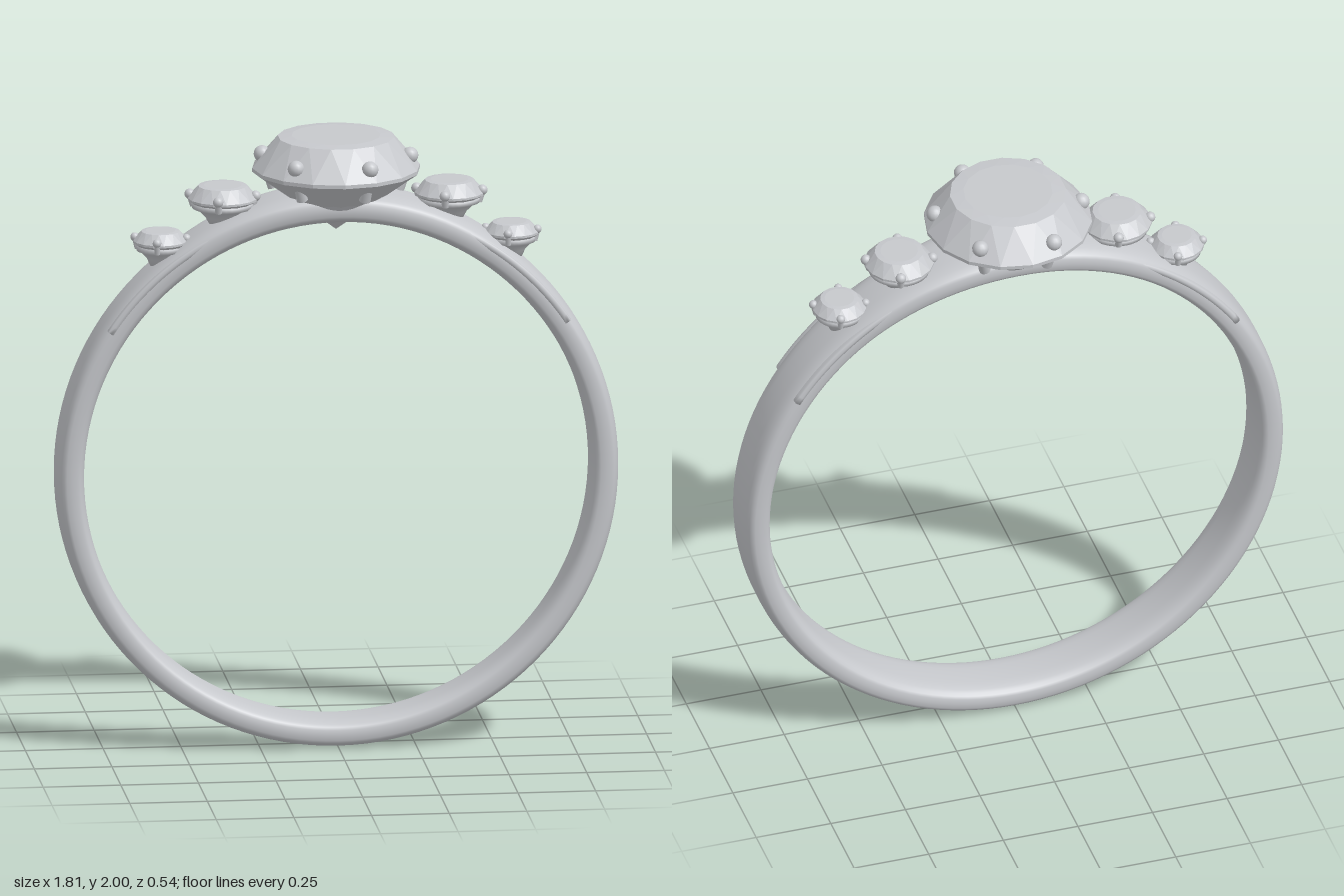
import * as THREE from 'three';

const CY = 0.905; // height of the ring centre

// Sweep a rounded-box section along an arc; angle is measured from the top of the ring.
function sweepArc(from, to, steps, section, sides) {
  const pos = [], idx = [], n = sides;
  const pw = (v, e) => Math.sign(v) * Math.pow(Math.abs(v), e);
  for (let i = 0; i <= steps; i++) {
    const t = from + (to - from) * i / steps;
    const { r, half, width, e } = section(t);
    for (let j = 0; j < n; j++) {
      const a = j / n * Math.PI * 2;
      const rad = r + half * pw(Math.sin(a), e);
      pos.push(rad * Math.sin(t), CY + rad * Math.cos(t), width * pw(Math.cos(a), e));
    }
  }
  const closed = Math.abs(to - from - Math.PI * 2) < 1e-6;
  for (let i = 0; i < steps; i++) {
    const p = i * n, q = (closed && i === steps - 1 ? 0 : i + 1) * n;
    for (let j = 0; j < n; j++) {
      const k = (j + 1) % n;
      idx.push(p + j, q + j, p + k, q + j, q + k, p + k);
    }
  }
  if (!closed) { // end caps
    const last = steps * n;
    for (let j = 1; j < n - 1; j++) idx.push(0, j, j + 1, last, last + j + 1, last + j);
  }
  const g = new THREE.BufferGeometry();
  g.setAttribute('position', new THREE.Float32BufferAttribute(pos, 3));
  g.setIndex(idx);
  g.computeVertexNormals();
  return g;
}

// Faceted stone from [radius, y, twist] rings, listed top to bottom.
function gemGeometry(rings, n) {
  const pos = [];
  const pt = ([r, y, tw], j) => {
    const a = (j + tw) / n * Math.PI * 2;
    return [r * Math.cos(a), y, r * Math.sin(a)];
  };
  const tri = (a, b, c) => pos.push(...a, ...b, ...c);
  const top = rings[0];
  for (let j = 0; j < n; j++) {
    tri([0, top[1], 0], pt(top, j + 1), pt(top, j));
    for (let k = 0; k < rings.length - 1; k++) {
      const u = rings[k], l = rings[k + 1];
      tri(pt(u, j), pt(u, j + 1), pt(l, j));
      if (l[0] > 0) tri(pt(u, j + 1), pt(l, j + 1), pt(l, j));
    }
  }
  const g = new THREE.BufferGeometry();
  g.setAttribute('position', new THREE.Float32BufferAttribute(pos, 3));
  g.computeVertexNormals();
  return g;
}

export function createModel() {
  const ring = new THREE.Group();
  ring.name = 'ring';
  const silver = new THREE.MeshStandardMaterial({ color: 0xc6c8cc });
  silver.name = 'silver';
  const stone = new THREE.MeshStandardMaterial({ color: 0xc6c8cc });
  stone.name = 'stone';

  const add = (parent, name, geo, mat = silver) => {
    const m = new THREE.Mesh(geo, mat);
    m.name = name;
    parent.add(m);
    return m;
  };

  // Claws: tapered stems with round tips, spaced evenly around a stone
  const addClaws = (parent, count, offset, low, high, stem, tip) => {
    for (let i = 0; i < count; i++) {
      const a = offset + i / count * Math.PI * 2;
      const at = ([r, y]) => new THREE.Vector3(r * Math.cos(a), y, r * Math.sin(a));
      const p = at(low), q = at(high), dir = q.clone().sub(p);
      const m = add(parent, 'clawStem', new THREE.CylinderGeometry(stem, stem, dir.length(), 10));
      m.position.copy(p).add(q).multiplyScalar(0.5);
      m.quaternion.setFromUnitVectors(new THREE.Vector3(0, 1, 0), dir.normalize());
      add(parent, 'clawTip', new THREE.SphereGeometry(tip, 14, 10)).position.copy(q);
    }
  };

  // Band, flaring wider and thicker towards the top
  add(ring, 'band', sweepArc(-Math.PI, Math.PI, 128, t => {
    const s = Math.max(0, 1 - Math.abs(t) / 0.8), f = s * s * (3 - 2 * s);
    return { r: 0.86 + 0.014 * f, half: 0.045 + 0.006 * f, width: 0.1 + 0.032 * f, e: 0.65 };
  }, 28));

  // Slim side rails on both shoulders
  for (const s of [-1, 1]) {
    const c = s * 0.64;
    add(ring, 'shoulderRail', sweepArc(c - 0.35, c + 0.35, 24,
      () => ({ r: 0.881, half: 0.012, width: 0.107, e: 0.3 }), 16));
  }

  // Main stone with its collar and six claws
  const main = new THREE.Group();
  main.name = 'mainSetting';
  ring.add(main);
  add(main, 'mainStone', gemGeometry([
    [0.143, 2.0, 0], [0.187, 1.995, 0.5], [0.27, 1.897, 1], [0.27, 1.885, 1], [0, 1.69, 1],
  ], 16), stone);
  add(main, 'mainCollar', new THREE.CylinderGeometry(0.155, 0.125, 0.035, 40)).position.y = 1.79;
  addClaws(main, 6, 0.16, [0.2, 1.825], [0.237, 1.935], 0.019, 0.027);

  // Two smaller stones in cups on each shoulder; heights are relative to the girdle
  const sideSettings = [
    { x: 0.365, y: 1.8, r: 0.112, crown: 0.045, depth: 0.09, tip: 0.017 },
    { x: 0.565, y: 1.665, r: 0.088, crown: 0.036, depth: 0.085, tip: 0.014 },
  ];
  for (const s of [-1, 1]) for (const { x, y, r, crown, depth, tip } of sideSettings) {
    const g = new THREE.Group();
    g.name = 'sideSetting';
    g.position.set(s * x, y, 0);
    ring.add(g);
    add(g, 'sideStone', gemGeometry([
      [r * 0.54, crown, 0], [r * 0.7, crown - 0.002, 0.5], [r, 0.004, 1], [r, -0.003, 1], [0, -depth * 0.8, 1],
    ], 16), stone);
    const cup = [
      [0, -depth], [r * 0.35, -depth], [r * 0.5, -depth * 0.65], [r * 0.72, -0.034],
      [r * 0.88, -0.028], [r * 0.9, -0.014], [r * 0.8, -0.008],
    ].map(p => new THREE.Vector2(...p));
    add(g, 'sideCup', new THREE.LatheGeometry(cup, 32));
    addClaws(g, 4, 0.25, [r * 0.84, -0.025], [r * 0.95, 0.012], tip * 0.7, tip);
  }
  return ring;
}
